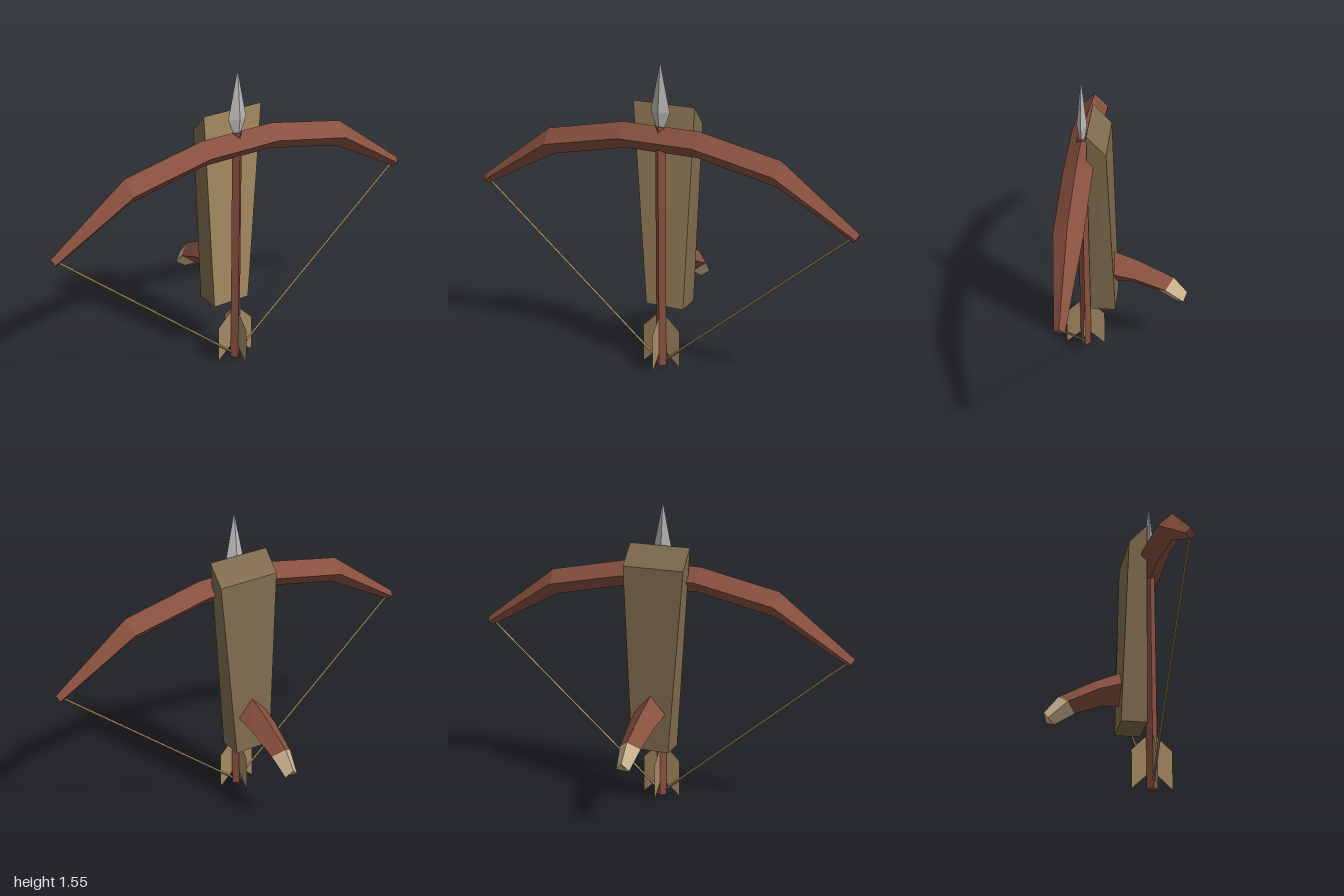
import * as THREE from 'three';

const mat = (name, color, side = THREE.FrontSide) => {
  const m = new THREE.MeshStandardMaterial({ color, side, flatShading: true });
  m.name = name;
  return m;
};

// Closed solid through a list of rings (each ring = equal number of [x,y,z] points).
function loft(rings) {
  const tris = [];
  const n = rings[0].length;
  for (let i = 0; i < rings.length - 1; i++) {
    for (let j = 0; j < n; j++) {
      const k = (j + 1) % n;
      const a = rings[i][j], b = rings[i][k], c = rings[i + 1][k], d = rings[i + 1][j];
      tris.push([a, b, c], [a, c, d]);
    }
  }
  const first = rings[0], last = rings[rings.length - 1];
  for (let j = 1; j < n - 1; j++) {
    tris.push([first[0], first[j + 1], first[j]], [last[0], last[j], last[j + 1]]);
  }
  // Turn every face outward using the sign of the enclosed volume
  const v = tris.map((t) => t.map((p) => new THREE.Vector3(...p)));
  const volume = v.reduce((s, [a, b, c]) => s + a.dot(b.clone().cross(c)), 0);
  if (volume < 0) v.forEach((t) => t.reverse());
  const g = new THREE.BufferGeometry().setFromPoints(v.flat());
  g.computeVertexNormals();
  return g;
}

export function createModel() {
  const root = new THREE.Group();
  root.name = 'crossbow';
  const tan = mat('pale wood', 0xa58a62, THREE.DoubleSide);
  const darkTan = mat('shaded wood', 0x806c4e);
  const brown = mat('red brown wood', 0x88503f);
  const steel = mat('steel', 0xbab6b6);
  const bone = mat('bone', 0xcdb590);
  const Z = 0.215; // plane of the bow and the arrow

  const add = (name, geometry, material) => {
    const m = new THREE.Mesh(geometry, material);
    m.name = name;
    root.add(m);
    return m;
  };

  // Stock: tapered block with a slanted top and a paler front face
  const stockRing = (w, y, zf, yb, zb) => [[-w, y, zf], [w, y, zf], [w, yb, zb], [-w, yb, zb]];
  add('stock', loft([
    stockRing(0.1, 0.31, 0.177, 0.31, 0.05),
    stockRing(0.16, 1.35, 0.177, 1.25, 0.085),
  ]), darkTan);
  const face = new THREE.Shape([[-0.1, 0.31], [0.1, 0.31], [0.16, 1.35], [-0.16, 1.35]]
    .map((p) => new THREE.Vector2(...p)));
  add('stockFront', new THREE.ShapeGeometry(face), tan).position.z = 0.179;

  // Bow: diamond section, given as top, middle and bottom points and half depth
  const half = [
    { t: [0.2, 1.25], m: [0.195, 1.183], b: [0.19, 1.12], d: 0.07 },
    { t: [0.61, 1.165], m: [0.6, 1.1], b: [0.592, 1.035], d: 0.07 },
    { t: [1.0, 0.868], m: [0.988, 0.846], b: [0.973, 0.826], d: 0.025 },
  ];
  const bowRing = (s) => ({ t, m, b, d }) => [
    [s * t[0], t[1], Z], [s * m[0], m[1], Z + d], [s * b[0], b[1], Z], [s * m[0], m[1], Z - d],
  ];
  add('bow', loft([...half.map(bowRing(-1)).reverse(), ...half.map(bowRing(1))]), brown);

  // String: two straight runs from the bow tips to the nock
  for (const s of [-1, 1]) {
    const line = new THREE.LineCurve3(
      new THREE.Vector3(s * 0.965, 0.845, Z), new THREE.Vector3(0, 0.02, Z));
    add(s > 0 ? 'stringLeft' : 'stringRight', new THREE.TubeGeometry(line, 1, 0.006, 4), tan);
  }

  // Arrow shaft and head: diamond sections stacked along y
  const diamond = (y, rx, rz) => [[rx, y, Z], [0, y, Z + rz], [-rx, y, Z], [0, y, Z - rz]];
  add('arrowShaft', loft([diamond(0.01, 0.027, 0.027), diamond(1.25, 0.027, 0.027)]), brown);
  add('arrowHead', loft([
    diamond(1.235, 0.018, 0.012),
    diamond(1.32, 0.05, 0.025),
    diamond(1.56, 0.001, 0.001),
  ]), steel);

  // Four thin fletchings
  const fin = new THREE.Shape([[0.01, 0.095], [0.1, 0.01], [0.1, 0.205], [0.025, 0.28], [0.01, 0.28]]
    .map((p) => new THREE.Vector2(...p)));
  const finGeometry = new THREE.ShapeGeometry(fin);
  for (let i = 0; i < 4; i++) {
    const f = add('fletching', finGeometry, tan);
    f.position.z = Z;
    f.rotation.y = (i * Math.PI) / 2;
  }

  // Grip: bent diamond section, each ring as [y, z] of top, middle, bottom and half width
  const gripRing = ([t, m, b, w]) => [
    [0, t[0], t[1]], [w, m[0], m[1]], [0, b[0], b[1]], [-w, m[0], m[1]],
  ];
  const grip = [
    [[0.605, 0.075], [0.515, 0.075], [0.42, 0.075], 0.083],
    [[0.548, -0.065], [0.483, -0.045], [0.42, -0.03], 0.072],
    [[0.455, -0.24], [0.412, -0.2], [0.372, -0.16], 0.056],
    [[0.368, -0.31], [0.33, -0.292], [0.31, -0.258], 0.035],
  ].map(gripRing);
  add('grip', loft(grip.slice(0, 3)), brown);
  add('gripTip', loft(grip.slice(2)), bone);

  return root;
}
